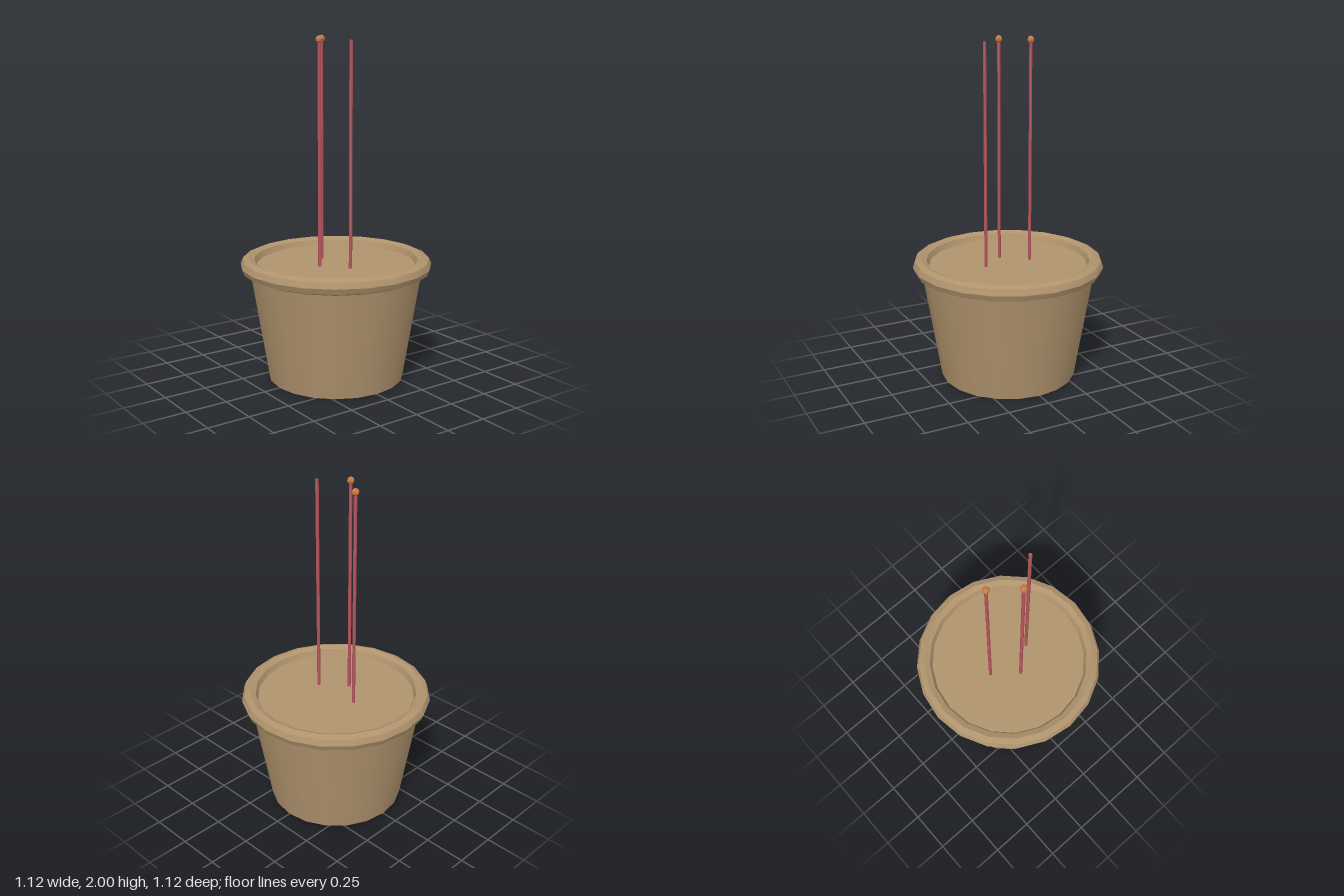
import * as THREE from 'three';
import { toCreasedNormals } from 'three/addons/utils/BufferGeometryUtils.js';

export function createModel() {
  const model = new THREE.Group();
  model.name = 'pottedStems';

  const clay = new THREE.MeshStandardMaterial({ name: 'tan clay', color: 0xb0936d });
  const red = new THREE.MeshStandardMaterial({ name: 'dusty red', color: 0xb9565e });
  const orange = new THREE.MeshStandardMaterial({ name: 'orange', color: 0xcb7c45 });

  const add = (name, geometry, material, x, y, z) => {
    const mesh = new THREE.Mesh(geometry, material);
    mesh.name = name;
    mesh.position.set(x, y, z);
    model.add(mesh);
    return mesh;
  };

  const rimY = 0.683, topY = 1.98, sides = 20;

  // Tapered pot, closed at the top by the fill surface
  add('pot', new THREE.CylinderGeometry(0.5125, 0.4, rimY, sides), clay, 0, rimY / 2, 0);

  // Rolled rim: octagonal section, smooth around the ring
  const rim = new THREE.TorusGeometry(0.5125, 0.0475, 8, sides).rotateX(Math.PI / 2);
  add('rim', toCreasedNormals(rim, Math.PI / 6), clay, 0, rimY, 0);

  // Thin stems, two of them carrying a bud
  const stemBase = 0.6;
  const stemGeometry = new THREE.CylinderGeometry(0.01, 0.01, topY - stemBase, 6)
    .rotateY(Math.PI / 6);
  const budGeometry = toCreasedNormals(new THREE.SphereGeometry(0.021, 6, 6), 0.45);
  const stems = [
    { x: -0.144, z: 0, bud: true },
    { x: 0, z: 0.114, bud: true },
    { x: 0.144, z: 0, bud: false },
  ];
  for (const { x, z, bud } of stems) {
    add('stem', stemGeometry, red, x, (topY + stemBase) / 2, z);
    if (bud) add('bud', budGeometry, orange, x, topY, z);
  }

  return model;
}
